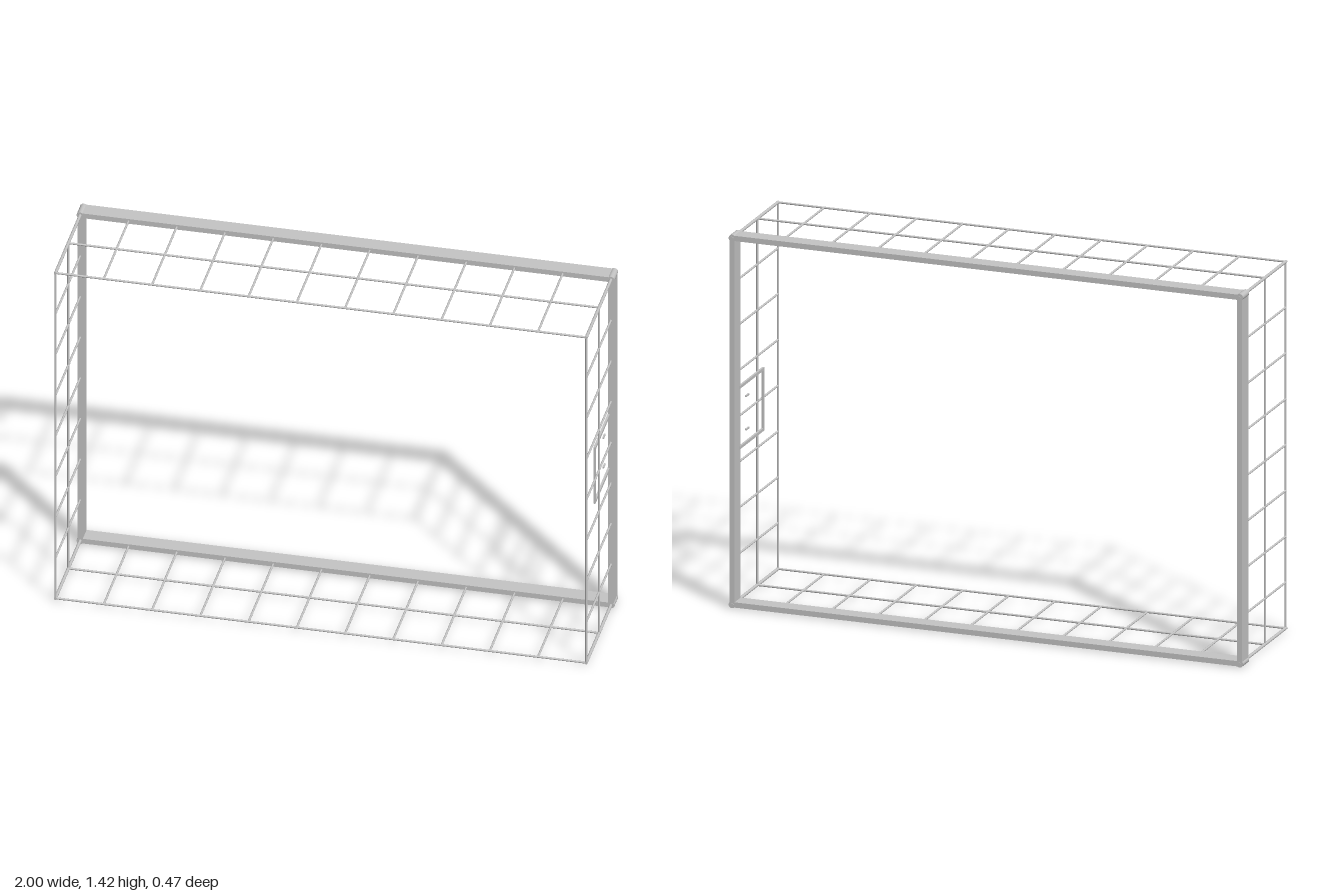
import * as THREE from 'three';

export function createModel() {
  const root = new THREE.Group();
  const steel = new THREE.MeshStandardMaterial({ color: 0xc5c5c5 });
  steel.name = 'light grey steel';

  const X = 0.986, Y0 = 0.013, Y1 = 1.406, Z = 0.23;
  const MID = 0.022, COLS = 11, ROWS = 8;
  const midY = (Y0 + Y1) / 2, H = Y1 - Y0;

  function box(name, w, h, d, x, y, z) {
    const m = new THREE.Mesh(new THREE.BoxGeometry(w, h, d), steel);
    m.name = name;
    m.position.set(x, y, z);
    root.add(m);
  }

  // Round rod between two points
  function rod(name, a, b, r) {
    const p = new THREE.Vector3(...a), q = new THREE.Vector3(...b);
    const dir = q.clone().sub(p);
    const m = new THREE.Mesh(new THREE.CylinderGeometry(r, r, dir.length(), 12), steel);
    m.name = name;
    m.position.copy(p).add(q).multiplyScalar(0.5);
    m.quaternion.setFromUnitVectors(new THREE.Vector3(0, 1, 0), dir.normalize());
    root.add(m);
  }

  // Flat rear frame
  const D = 0.062, FZ = -0.201, T = 0.02;
  for (const y of [Y0, Y1]) box('frameRail', 2 * X, T, D, 0, y, FZ);
  for (const s of [-1, 1]) box('framePost', T, H, D, s * X, midY, FZ);

  // Corner joints and the rods running forward from them
  for (const s of [-1, 1]) for (const y of [Y0, Y1]) {
    rod('cornerJoint', [s * X, y, FZ - D / 2], [s * X, y, FZ + D / 2], 0.0135);
    rod('cornerRod', [s * X, y, -0.234], [s * X, y, 0.234], 0.0058);
  }

  // Long wires around the front rim and the middle
  const r = 0.004;
  for (const z of [Z, MID]) {
    for (const y of [Y0, Y1]) rod('longWire', [-X, y, z], [X, y, z], r);
    for (const s of [-1, 1]) rod('uprightWire', [s * X, Y0, z], [s * X, Y1, z], r);
  }

  // Cross wires on the top, bottom and both sides
  for (let i = 1; i < COLS; i++) {
    const x = -X + (2 * X * i) / COLS;
    for (const y of [Y0, Y1]) rod('crossWire', [x, y, FZ], [x, y, Z], r);
  }
  for (let i = 1; i < ROWS; i++) {
    const y = Y0 + (H * i) / ROWS;
    for (const s of [-1, 1]) rod('sideWire', [s * X, y, FZ], [s * X, y, Z], r);
  }

  // Small bracket on the left side with two pins
  const bx = 0.978, b0 = 0.595, b1 = 0.825, bz = 0.058, t = 0.011;
  for (const y of [b0, b1]) box('bracketArm', 0.008, t, bz + 0.18 + t / 2, bx, y, (bz - 0.18 + t / 2) / 2);
  box('bracketBar', 0.008, b1 - b0, t, bx, (b0 + b1) / 2, bz);
  for (const y of [0.647, 0.774]) box('bracketPin', 0.006, 0.006, 0.027, 0.975, y, -0.107);

  return root;
}
